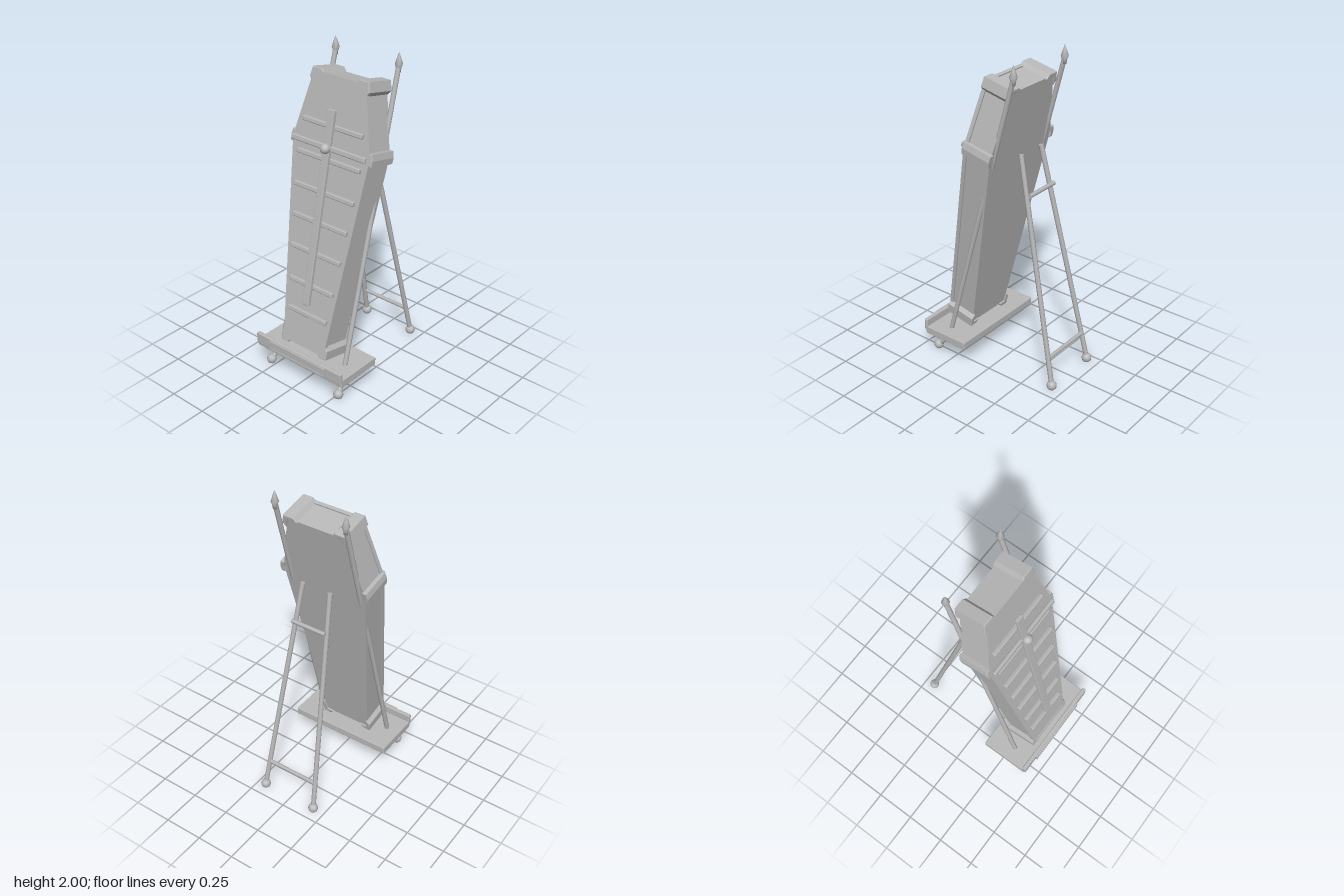
import * as THREE from 'three';
import { RoundedBoxGeometry } from 'three/addons/geometries/RoundedBoxGeometry.js';

const V2 = (x, y) => new THREE.Vector2(x, y);
const V3 = (x, y, z) => new THREE.Vector3(x, y, z);

// right half of the coffin outline (top, shoulder, bottom), inset by d
const corners = (d) => [
  V2(0.19 - 0.79 * d, 1.665 - d),
  V2(0.285 - 1.02 * d, 1.263),
  V2(0.16 - 0.9 * d, 0.015 + d),
];
const outline = (d) => {
  const c = corners(d);
  return [...c, ...c.map((p) => V2(-p.x, p.y)).reverse()];
};

export function createModel() {
  const model = new THREE.Group();
  const grey = new THREE.MeshStandardMaterial({ color: 0xb8b8b8 });
  grey.name = 'plain grey';

  const add = (parent, name, geometry, x = 0, y = 0, z = 0) => {
    const mesh = new THREE.Mesh(geometry, grey);
    mesh.name = name;
    mesh.position.set(x, y, z);
    parent.add(mesh);
    return mesh;
  };
  const box = (parent, name, w, h, d, x, y, z, r = 0.004) =>
    add(parent, name, new RoundedBoxGeometry(w, h, d, 2, r), x, y, z);
  const rod = (parent, name, a, b, r, sides = 8) => {
    const dir = b.clone().sub(a);
    const mesh = add(parent, name, new THREE.CylinderGeometry(r, r, dir.length(), sides));
    mesh.position.copy(a).addScaledVector(dir, 0.5);
    mesh.quaternion.setFromUnitVectors(V3(0, 1, 0), dir.normalize());
    return mesh;
  };
  const plate = (shape, depth, bevel = 0) => new THREE.ExtrudeGeometry(shape, {
    depth, bevelEnabled: bevel > 0, bevelThickness: bevel, bevelSize: bevel, bevelOffset: -bevel, bevelSegments: 2,
  });

  // coffin, leaning back; local z = 0 is the front of the lid rim
  const coffin = new THREE.Group();
  coffin.name = 'coffin';
  coffin.position.set(0, 0.235, 0.397);
  coffin.rotation.x = -0.2094;
  model.add(coffin);

  add(coffin, 'body', plate(new THREE.Shape(outline(0.006)), 0.164), 0, 0, -0.19);
  add(coffin, 'lidPanel', plate(new THREE.Shape(outline(0.01)), 0.02), 0, 0, -0.028);
  const rim = new THREE.Shape(outline(0));
  rim.holes.push(new THREE.Path(outline(0.018)));
  add(coffin, 'lidRim', plate(rim, 0.024), 0, 0, -0.024);

  // ribs across the lid: height, half width
  const ribs = [[1.59, 0.22], [1.4, 0.235], [1.21, 0.225], [1.03, 0.205], [0.845, 0.19], [0.645, 0.17], [0.465, 0.15]];
  for (const [y, w] of ribs) box(coffin, 'lidRib', w * 2, 0.03, 0.028, 0, (y - 0.238) / 0.978, 0.002, 0.007);

  // cross with a round boss
  box(coffin, 'crossUpright', 0.05, 1.183, 0.022, 0, 0.892, 0.026);
  box(coffin, 'crossBar', 0.545, 0.034, 0.022, 0, 1.262, 0.02, 0.008);
  add(coffin, 'crossBoss', new THREE.SphereGeometry(0.03, 20, 14), 0, 1.26, 0.044);

  // brackets wrapped round each corner
  const inner = corners(0.01);
  const outer = corners(-0.018);
  const ends = [V2(0, 1.683), ...outer, V2(0, -0.003)];
  const reach = [[0.068, 0.06], [0.038, 0.038], [0.06, 0.05]];
  for (const side of [1, -1]) {
    inner.forEach((p, i) => {
      const q = outer[i];
      const a = ends[i].clone().sub(q).setLength(reach[i][0]);
      const b = ends[i + 2].clone().sub(q).setLength(reach[i][1]);
      const pts = [q.clone().add(a), q, q.clone().add(b), p.clone().add(b), p, p.clone().add(a)];
      const shape = new THREE.Shape(pts.map((v) => V2(v.x * side, v.y)));
      add(coffin, 'cornerBracket', plate(shape, 0.188, 0.005), 0, 0, -0.194);
    });
  }

  // easel
  const easel = new THREE.Group();
  easel.name = 'easel';
  model.add(easel);
  const finial = new THREE.LatheGeometry(
    [V2(0, -0.03), V2(0.012, -0.03), V2(0.014, -0.01), V2(0.023, 0.015), V2(0.012, 0.05), V2(0, 0.085)], 8);
  const ball = new THREE.SphereGeometry(0.031, 10, 8);
  for (const s of [1, -1]) {
    rod(easel, 'frontLeg', V3(s * 0.25, 0.16, 0.305), V3(s * 0.23, 1.91, -0.175), 0.015);
    add(easel, 'finial', finial, s * 0.23, 1.915, -0.178);
    rod(easel, 'frontFootStem', V3(s * 0.25, 0.165, 0.27), V3(s * 0.275, 0.035, 0.39), 0.015);
    add(easel, 'frontFoot', ball, s * 0.275, 0.035, 0.39);
    rod(easel, 'backLeg', V3(s * 0.183, 0.035, -0.432), V3(s * 0.093, 1.427, -0.125), 0.015);
    add(easel, 'backFoot', ball, s * 0.183, 0.035, -0.432);
  }
  rod(easel, 'upperRung', V3(-0.115, 1.2, -0.205), V3(0.115, 1.2, -0.205), 0.013);
  rod(easel, 'lowerRung', V3(-0.165, 0.21, -0.397), V3(0.165, 0.21, -0.397), 0.012);

  // shelf with a lip and a framed blank plaque
  box(easel, 'shelf', 0.68, 0.05, 0.315, 0, 0.16, 0.278, 0.006);
  box(easel, 'shelfLip', 0.68, 0.072, 0.026, 0, 0.197, 0.435, 0.006);
  box(easel, 'plaque', 0.45, 0.056, 0.008, 0, 0.198, 0.451, 0.002);
  const frame = new THREE.Shape([V2(-0.225, -0.028), V2(0.225, -0.028), V2(0.225, 0.028), V2(-0.225, 0.028)]);
  frame.holes.push(new THREE.Path([V2(-0.217, -0.02), V2(-0.217, 0.02), V2(0.217, 0.02), V2(0.217, -0.02)]));
  add(easel, 'plaqueFrame', plate(frame, 0.006), 0, 0.198, 0.453);

  return model;
}
